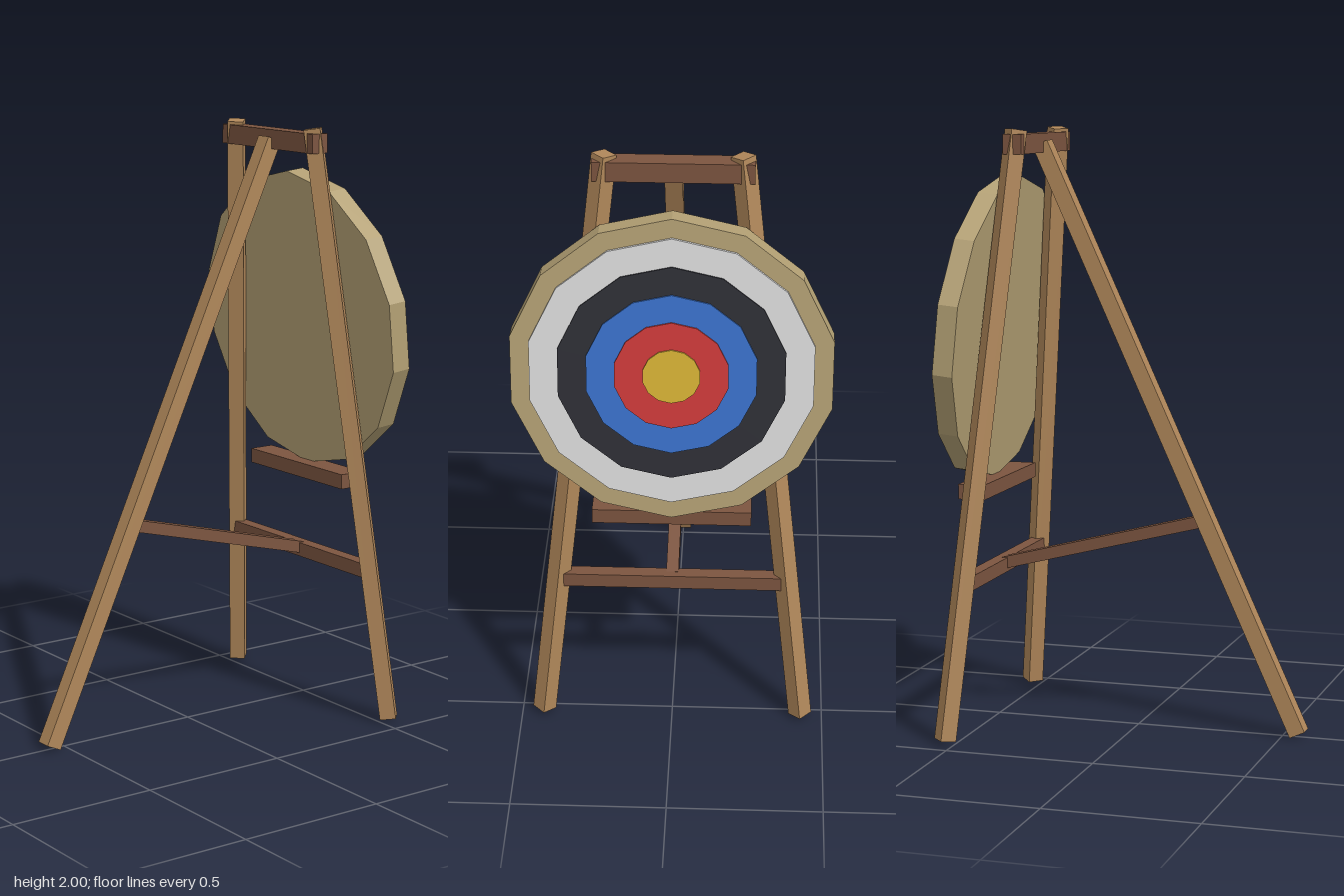
import * as THREE from 'three';

const mat = (name, color) => {
  const m = new THREE.MeshStandardMaterial({ color });
  m.name = name;
  return m;
};

export function createModel() {
  const group = new THREE.Group();
  group.name = 'archeryTarget';

  const lightWood = mat('lightWood', 0xb0875a);
  const darkWood = mat('darkWood', 0x7c5540);
  const straw = mat('straw', 0xb3a074);

  const add = (name, geometry, material, parent = group) => {
    const mesh = new THREE.Mesh(geometry, material);
    mesh.name = name;
    parent.add(mesh);
    return mesh;
  };

  // Square-cut beam between two points, rolled about its own axis
  const beam = (name, a, b, w, d, material, roll = 0) => {
    const from = new THREE.Vector3(...a), to = new THREE.Vector3(...b);
    const dir = to.clone().sub(from);
    const mesh = add(name, new THREE.BoxGeometry(w, dir.length(), d), material);
    mesh.position.copy(from).add(to).multiplyScalar(0.5);
    mesh.quaternion.setFromUnitVectors(new THREE.Vector3(0, 1, 0), dir.normalize());
    mesh.rotateY(roll);
    return mesh;
  };

  // Tripod legs: the pair beside the target is turned edge-on
  for (const [side, s] of [['left', 1], ['right', -1]]) {
    beam(side + 'Leg', [s * 0.427, 0.014, -0.532], [s * 0.208, 1.995, -0.35],
      0.054, 0.054, lightWood, Math.PI / 4);
  }
  beam('propLeg', [0, 0.012, 0.555], [0, 1.947, -0.333], 0.055, 0.055, lightWood);

  // Horizontal bars
  const bars = [
    ['topBar', 0.49, 0.064, 0.062, 1.949, -0.351],
    ['crossBar', 0.73, 0.048, 0.045, 0.525, -0.483],
    ['targetLedge', 0.505, 0.05, 0.09, 0.81, -0.5],
  ];
  for (const [name, w, h, d, y, z] of bars) {
    add(name, new THREE.BoxGeometry(w, h, d), darkWood).position.set(0, y, z);
  }
  beam('stretcher', [0, 0.71, 0.225], [0, 0.53, -0.475], 0.04, 0.04, darkWood);

  // Leaning target; its local +y is the shooting side
  const target = new THREE.Group();
  target.name = 'target';
  target.position.set(0, 1.335, -0.49);
  target.rotation.x = -Math.PI / 2 + 0.1;
  group.add(target);

  const SIDES = 14, THICK = 0.068;
  const disc = (name, r, h, y, material) => {
    const g = new THREE.CylinderGeometry(r, r, h, SIDES).toNonIndexed();
    g.computeVertexNormals();
    add(name, g, material, target).position.y = y;
  };
  disc('strawButt', 0.508, THICK, 0, straw);

  // Scoring rings, each slightly proud of the one outside it
  const rings = [
    ['whiteRing', 0.448, 0xdcdcdc],
    ['blackRing', 0.358, 0x2e2f36],
    ['blueRing', 0.268, 0x3a72cc],
    ['redRing', 0.179, 0xcf3a3a],
    ['goldCentre', 0.09, 0xd9b436],
  ];
  rings.forEach(([name, r, color], i) => {
    const top = THICK / 2 + 0.009 + i * 0.005;
    disc(name, r, 0.009, top - 0.0045, mat(name.replace(/Ring|Centre/, 'Paint'), color));
  });

  return group;
}
